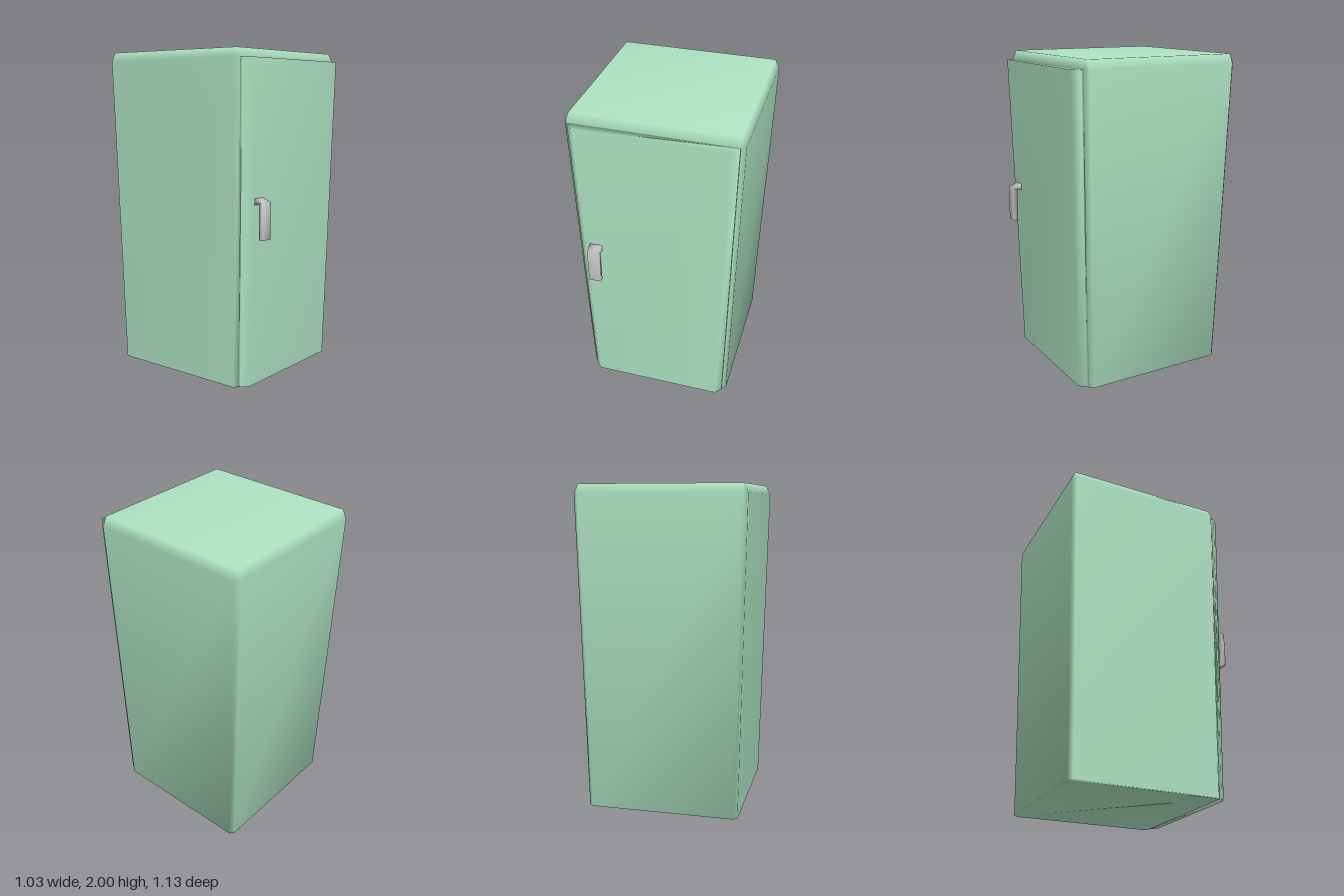
import * as THREE from 'three';
import { mergeVertices } from 'three/addons/utils/BufferGeometryUtils.js';

const TAPER = 0.917; // footprint at the floor relative to the top

// Skin a stack of rings ([x, y, z] points, counterclockwise from above) and cap both ends.
// Coincident points are welded so the shading is smooth over the whole part.
function loft(rings) {
  const n = rings[0].length;
  const last = (rings.length - 1) * n;
  const index = [];
  for (let r = 0; r < rings.length - 1; r++) {
    for (let j = 0; j < n; j++) {
      const a = r * n + j, b = r * n + (j + 1) % n;
      index.push(a, b, b + n, a, b + n, a + n);
    }
  }
  for (let j = 1; j < n - 1; j++) {
    index.push(0, j + 1, j);
    index.push(last, last + j, last + j + 1);
  }
  let geometry = new THREE.BufferGeometry();
  geometry.setAttribute('position', new THREE.Float32BufferAttribute(rings.flat(2), 3));
  geometry.setIndex(index);
  geometry = mergeVertices(geometry, 1e-4);
  geometry.computeVertexNormals();
  return geometry;
}

// Place an [x, z] outline at a height, scaled about the centre.
const ring = (outline, y, s = 1) => outline.map(([x, z]) => [x * s, y, z * s]);

export function createModel() {
  const group = new THREE.Group();
  const green = new THREE.MeshStandardMaterial({ color: 0xb0e6c4 });
  const grey = new THREE.MeshStandardMaterial({ color: 0xcccccc });
  const add = (name, geometry, material) => {
    const mesh = new THREE.Mesh(geometry, material);
    mesh.name = name;
    group.add(mesh);
  };

  // Cabinet: tapered box with chamfered corners and a bevelled top
  const outer = [
    [-0.49, 0.47], [0.49, 0.47], [0.517, 0.445], [0.517, -0.54],
    [0.49, -0.565], [-0.49, -0.565], [-0.517, -0.54], [-0.517, 0.445],
  ];
  const top = outer.map(([x]) => x).map((x, i) => [
    Math.sign(x) * 0.49, outer[i][1] > 0 ? 0.445 : -0.54,
  ]);
  add('cabinet', loft([ring(outer, 0, TAPER), ring(outer, 1.945), ring(top, 2)]), green);

  // Door: panel on the front with chamfered vertical edges
  const door = [
    [-0.447, 0.527], [0.447, 0.527], [0.49, 0.485],
    [0.49, 0.47], [-0.49, 0.47], [-0.49, 0.485],
  ];
  add('door', loft([ring(door, 0.004, TAPER), ring(door, 1.945)]), green);

  // Handle: hanging bar bent back into the door; each section is [outer y, z, inner y, z]
  const sections = [
    [0.9, 0.567, 0.9, 0.54],
    [1.12, 0.567, 1.117, 0.54],
    [1.145, 0.5, 1.1, 0.5],
  ];
  const [x0, x1] = [-0.4, -0.323];
  add('handle', loft(sections.map(([yo, zo, yi, zi]) => [
    [x0, yo, zo], [x1, yo, zo], [x1, yi, zi], [x0, yi, zi],
  ])), grey);

  return group;
}
